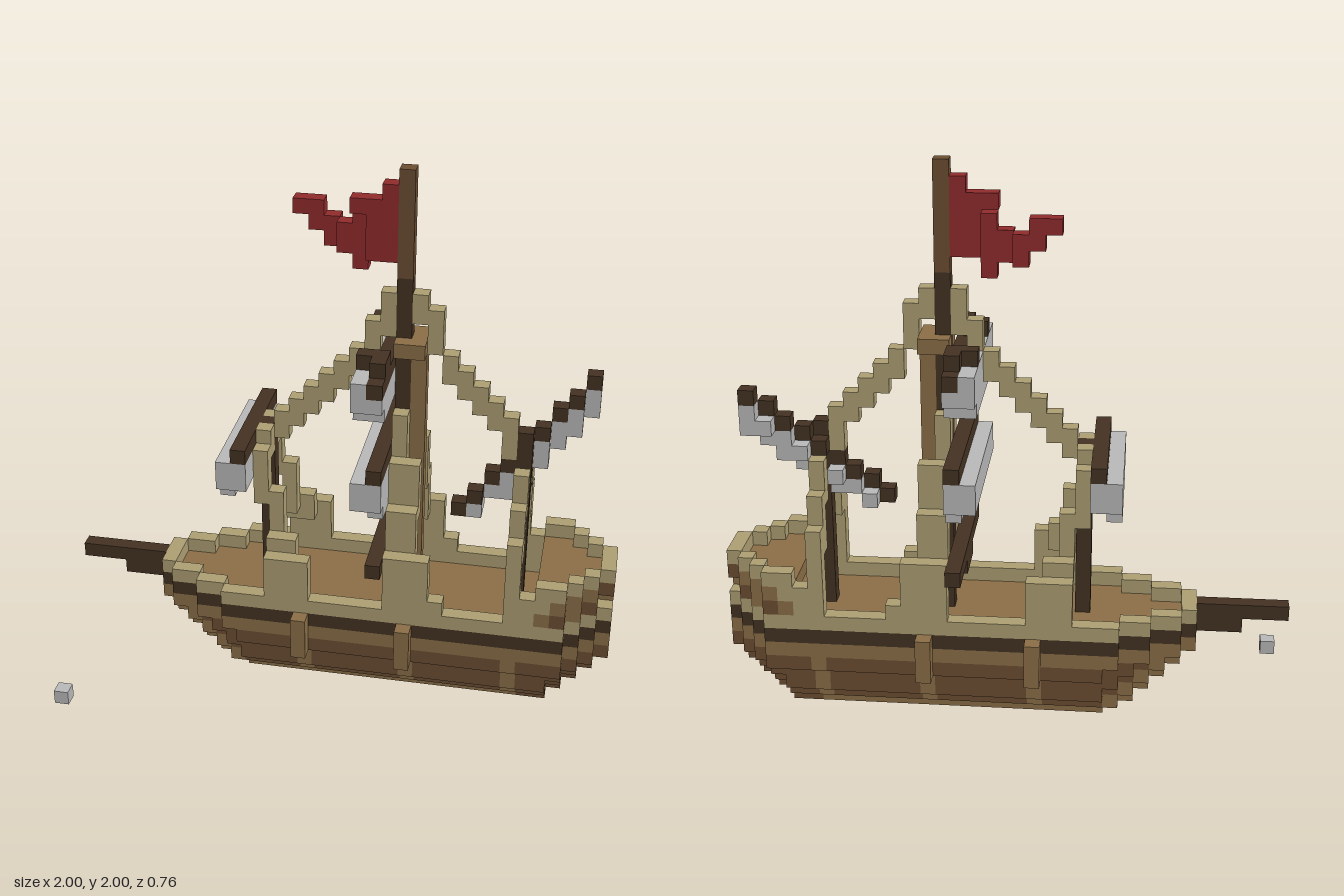
import * as THREE from 'three';
import { mergeGeometries } from 'three/addons/utils/BufferGeometryUtils.js';

const V = 2 / 37; // one block
const MID = 5; // centreline block of the ship in z

function material(name, color) {
  const m = new THREE.MeshStandardMaterial({ color });
  m.name = name;
  return m;
}

export function createModel() {
  const mats = {
    tan: material('tan rope and rail', 0xb0a275),
    oak: material('light wood', 0x8d7048),
    plank: material('hull planks', 0x6d4f33),
    dark: material('dark spars', 0x453323),
    sail: material('furled sail grey', 0xbcbcbc),
    red: material('flag red', 0x932b2d),
  };

  // every block remembers its part and colour; later blocks replace earlier ones
  const cells = new Map();
  const key = (i, j, k) => `${i},${j},${k}`;
  const box = (part, mat, i0, i1, j0, j1, k0, k1 = k0) => {
    for (let i = i0; i <= i1; i++)
      for (let j = j0; j <= j1; j++)
        for (let k = k0; k <= k1; k++) cells.set(key(i, j, k), { part, mat, p: [i, j, k] });
  };
  // same block range on both sides of the centreline
  const pair = (part, mat, i0, i1, j0, j1, off) => {
    box(part, mat, i0, i1, j0, j1, MID + off);
    box(part, mat, i0, i1, j0, j1, MID - off);
  };

  // hull layers: first column, last column, greatest half width
  const layers = [
    [12, 32, 1], [10, 33, 2], [9, 34, 3], [8, 35, 3],
    [7, 36, 4], [6, 36, 4], [6, 36, 4], [6, 36, 4],
  ];
  const half = (j, i) => {
    const [s, e, w] = layers[j];
    if (i < s || i > e) return -1;
    return Math.min(w, 1 + Math.ceil((i - s) / 2), 1 + e - i);
  };
  const isEdge = (j, i, o) =>
    Math.abs(o) === half(j, i) || Math.abs(o) > half(j, i - 1) || Math.abs(o) > half(j, i + 1);
  const ribs = [16, 23, 30];

  layers.forEach(([s, e], j) => {
    for (let i = s; i <= e; i++) {
      const h = half(j, i);
      for (let o = -h; o <= h; o++) {
        const edge = isEdge(j, i, o);
        const k = MID + o;
        if (j === 7) {
          if (edge) box('rail', 'tan', i, i, j, j, k);
        } else if (j === 6) {
          box(edge ? 'hullStripe' : 'deck', edge ? 'dark' : 'oak', i, i, j, j, k);
        } else {
          const light = j === 5 || i < s + 2 || ribs.includes(i) || (j === 0 && o !== 0 && i < 31)
            || (i === e && o === 0);
          box('hull', light ? 'oak' : 'plank', i, i, j, j, k);
        }
      }
    }
  });
  for (const i of [16, 23]) pair('hullRibs', 'oak', i, i, 4, 6, 5);

  // bowsprit
  box('bowsprit', 'dark', 0, 5, 7, 7, MID);
  box('bowsprit', 'dark', 3, 5, 6, 6, MID);

  // raised stern: walls with two windows, floor and top rail
  for (let i = 32; i <= 36; i++) {
    const h = half(7, i);
    for (let o = -h; o <= h; o++) {
      const k = MID + o;
      if (isEdge(7, i, o)) {
        if (!(i === 36 && Math.abs(o) === 1)) box('sternWall', i % 2 ? 'plank' : 'oak', i, i, 8, 8, k);
        box('sternWall', i === 32 ? 'tan' : i === 36 ? 'plank' : 'oak', i, i, 9, 9, k);
        box('sternRail', 'tan', i, i, 10, 10, k);
      } else box('sternDeck', 'oak', i, i, 9, 9, k);
    }
  }

  // masts
  box('foreMast', 'dark', 13, 13, 7, 18, MID);
  box('mainMast', 'dark', 22, 22, 7, 29, MID);
  box('topMast', 'plank', 22, 22, 30, 36, MID);
  box('mainMastPost', 'oak', 23, 23, 7, 25, MID);
  box('mizzenMast', 'dark', 30, 30, 7, 19, MID);
  box('mastTop', 'oak', 22, 23, 25, 25, 4, 6);
  box('mainMast', 'dark', 22, 22, 25, 25, MID);

  // stepped shrouds: [first i, last i, first j, last j, distance from centreline]
  const shrouds = {
    foreShrouds: [
      [15, 16, 8, 9, 4], [14, 16, 8, 10, 4], [14, 15, 10, 11, 3], [14, 14, 11, 14, 2],
      [13, 13, 14, 17, 2], [13, 13, 17, 18, 1],
    ],
    mainShrouds: [
      [22, 25, 8, 8, 4], [22, 24, 8, 11, 4], [22, 23, 11, 14, 3], [22, 23, 14, 17, 2],
      [22, 22, 17, 20, 1],
    ],
    mizzenShrouds: [[30, 31, 8, 9, 4], [30, 30, 8, 13, 4], [30, 30, 12, 15, 3], [30, 30, 15, 17, 2]],
  };
  for (const name in shrouds) for (const s of shrouds[name]) pair(name, 'tan', ...s);

  // stays between the mast heads: [i, first j, last j]
  const stays = [
    [14, 18, 19], [15, 19, 20], [16, 20, 21], [17, 21, 22], [18, 22, 23], [19, 23, 24], [20, 25, 26],
    [21, 26, 28], [23, 27, 28], [24, 25, 27], [25, 23, 24], [26, 22, 23], [27, 21, 22], [28, 20, 21],
    [29, 18, 20],
  ];
  for (const [i, a, b] of stays) box('stays', 'tan', i, i, a, b, MID);

  // yards with furled sails
  box('foreSail', 'sail', 11, 12, 16, 17, 1, 9);
  box('foreSail', 'sail', 11, 11, 15, 15, 2, 8);
  box('foreYard', 'dark', 12, 12, 18, 18, 1, 9);
  box('lowerMainYard', 'dark', 21, 21, 11, 11, 0, 10);
  box('lowerMainYard', 'dark', 21, 21, 10, 10, 4, 6);
  box('mainSail', 'sail', 20, 21, 16, 17, 0, 10);
  box('mainSail', 'sail', 21, 21, 15, 15, 1, 9);
  box('mainYard', 'dark', 21, 21, 18, 18, 0, 10);
  box('topSail', 'sail', 20, 20, 23, 24, 0, 10);
  box('topSail', 'sail', 20, 21, 22, 22, 1, 9);
  box('topSail', 'sail', 21, 21, 23, 23, 0, 10);
  box('topYard', 'dark', 21, 21, 24, 24, 0, 10);
  pair('topYard', 'dark', 20, 21, 25, 25, 3);
  pair('topYard', 'dark', 21, 21, 25, 25, 4);

  // slanted mizzen yard, its sail hanging to one side
  const yardZ = [6, 6, 5, 5, 4, 4, 3, 3, 2];
  yardZ.forEach((k, n) => {
    const i = 26 + n;
    if (n > 0 && n !== 4) {
      box('mizzenSail', 'sail', i, i, 12 + n + (n < 3 ? 1 : 0), 13 + n, k);
      if (n % 2) box('mizzenSail', 'sail', i, i, 13 + n, 13 + n, k - 1);
    }
    box('mizzenYard', 'dark', i, i, 14 + n, 14 + n, k);
  });

  // tattered flag: [i, first j, last j, k]
  const flag = [
    [15, 33, 33, 3], [16, 32, 33, 3], [17, 31, 32, 3], [18, 31, 32, 4], [19, 30, 33, 4],
    [19, 34, 34, 5], [20, 31, 34, 5], [21, 31, 35, 5],
  ];
  for (const [i, a, b, k] of flag) box('flag', 'red', i, i, a, b, k);

  // loose block beside the ship
  box('looseBlock', 'sail', 0, 0, 0, 0, 13);

  // exposed faces only, one mesh per part and colour
  const sides = [
    [[1, 0, 0], 0, Math.PI / 2], [[-1, 0, 0], 0, -Math.PI / 2], [[0, 1, 0], -Math.PI / 2, 0],
    [[0, -1, 0], Math.PI / 2, 0], [[0, 0, 1], 0, 0], [[0, 0, -1], 0, Math.PI],
  ].map(([d, rx, ry]) => ({
    d,
    face: new THREE.PlaneGeometry(V, V).rotateX(rx).rotateY(ry)
      .translate(d[0] * V / 2, d[1] * V / 2, d[2] * V / 2),
  }));
  const batches = new Map();
  for (const { part, mat, p } of cells.values()) {
    const id = `${part}|${mat}`;
    for (const { d, face } of sides) {
      if (cells.has(key(p[0] + d[0], p[1] + d[1], p[2] + d[2]))) continue;
      if (!batches.has(id)) batches.set(id, []);
      batches.get(id).push(face.clone()
        .translate((p[0] - 18) * V, (p[1] + 0.5) * V, (p[2] - 6.5) * V));
    }
  }
  const group = new THREE.Group();
  group.name = 'sailingShip';
  for (const [id, faces] of batches) {
    const [part, mat] = id.split('|');
    const mesh = new THREE.Mesh(mergeGeometries(faces), mats[mat]);
    mesh.name = part;
    group.add(mesh);
  }
  return group;
}
